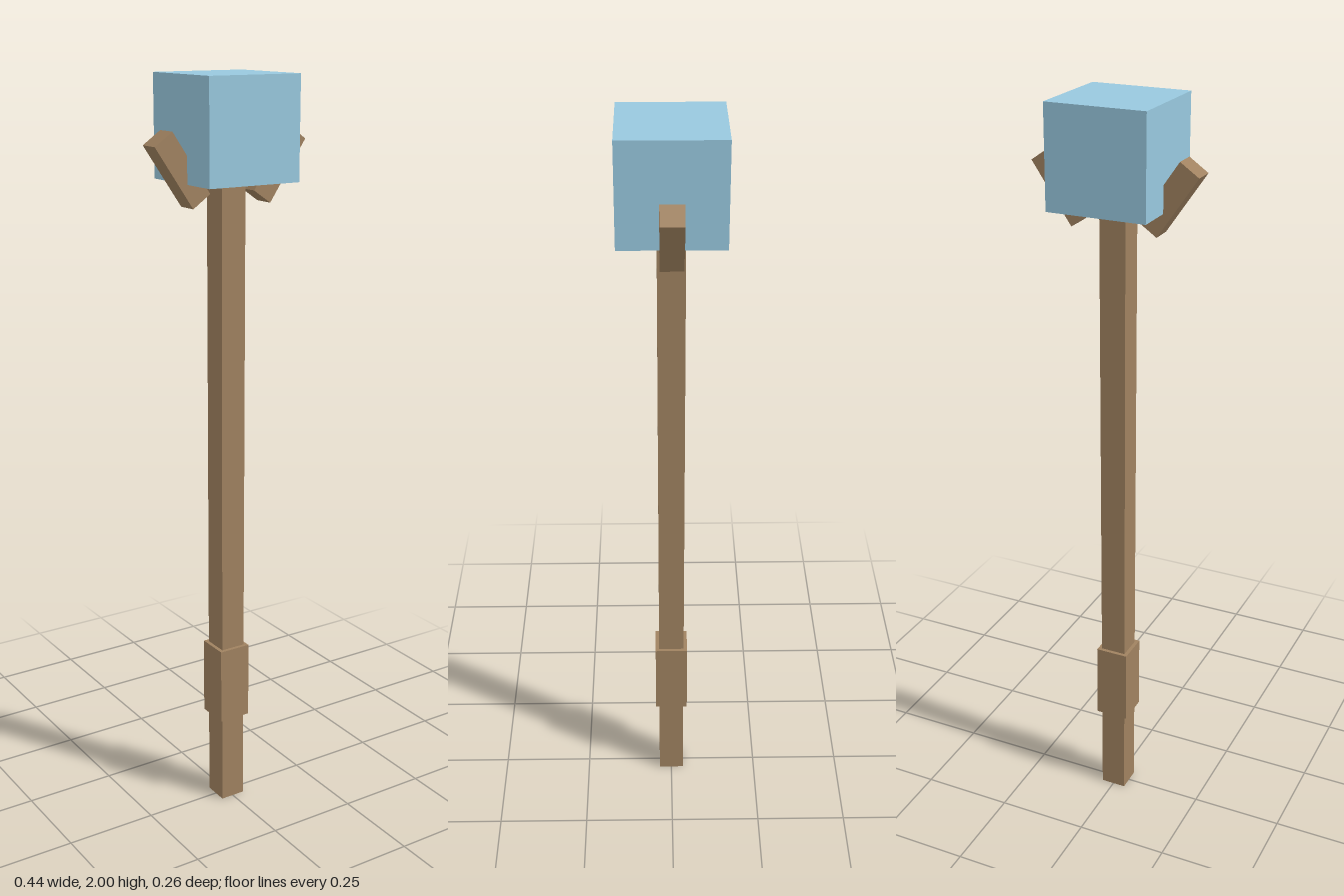
import * as THREE from 'three';

export function createModel() {
  const model = new THREE.Group();
  model.name = 'staff';
  const wood = new THREE.MeshStandardMaterial({ color: 0xa08260, flatShading: true });
  const crystal = new THREE.MeshStandardMaterial({ color: 0x98c8de, flatShading: true });

  const addBox = (name, w, h, d, x, y, material) => {
    const mesh = new THREE.Mesh(new THREE.BoxGeometry(w, h, d), material);
    mesh.name = name;
    mesh.position.set(x, y, 0);
    model.add(mesh);
    return mesh;
  };

  // Long square shaft with a thicker grip near the foot
  addBox('shaft', 0.07, 1.742, 0.07, 0, 0.871, wood);
  addBox('grip', 0.09, 0.213, 0.09, 0, 0.361, wood);

  // Crystal cube on top
  addBox('crystal', 0.262, 0.26, 0.262, 0, 1.87, crystal);

  // Mirrored prongs leaning outwards beside the cube
  for (const side of [1, -1]) {
    const prong = addBox(side > 0 ? 'leftProng' : 'rightProng', 0.06, 0.188, 0.058, side * 0.143, 1.774, wood);
    prong.rotation.z = -side * THREE.MathUtils.degToRad(34.5);
  }

  return model;
}
